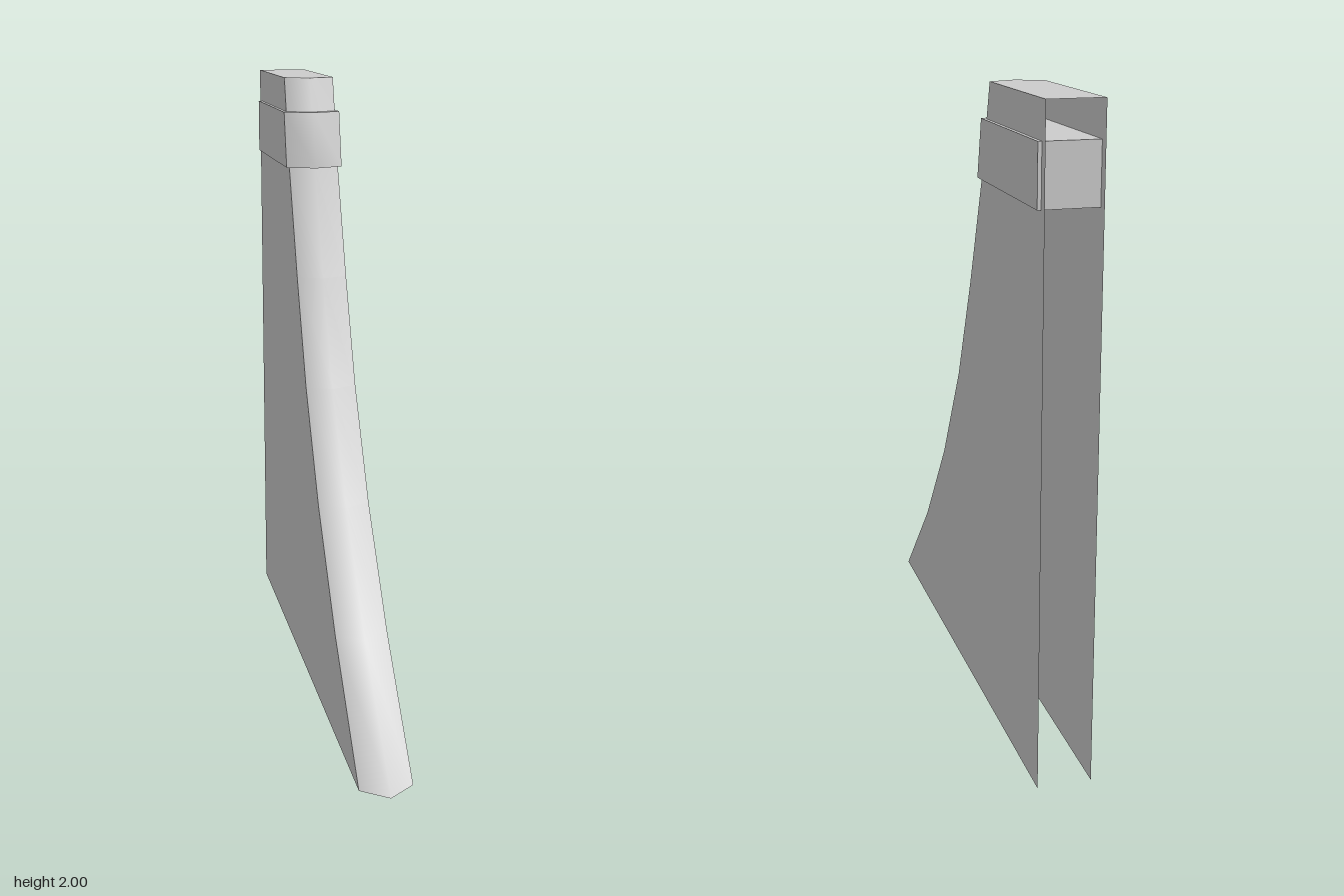
import * as THREE from 'three';

const grey = new THREE.MeshStandardMaterial({ color: 0xcccccc, side: THREE.DoubleSide });
grey.name = 'grey';

function addMesh(group, geometry, name) {
  const mesh = new THREE.Mesh(geometry, grey);
  mesh.name = name;
  group.add(mesh);
  return mesh;
}

// Smooth V-shaped front running up the rows [y, ridge z, edge z]
function frontStrip(rows, half) {
  const pos = [], index = [];
  rows.forEach(([y, ridge, edge], i) => {
    pos.push(-half, y, edge, 0, y, ridge, half, y, edge);
    if (i === 0) return;
    for (let j = 0; j < 2; j++) {
      const a = (i - 1) * 3 + j, c = a + 3;
      index.push(a, a + 1, c, a + 1, c + 1, c);
    }
  });
  const geo = new THREE.BufferGeometry();
  geo.setAttribute('position', new THREE.Float32BufferAttribute(pos, 3));
  geo.setIndex(index);
  geo.computeVertexNormals();
  return geo;
}

// Flat side wall between the front edge and the back line
function sideWall(rows, half, back) {
  const pts = rows.map(([y, , edge]) => new THREE.Vector2(edge, y));
  pts.push(new THREE.Vector2(back, rows[rows.length - 1][0]), new THREE.Vector2(back, rows[0][0]));
  return new THREE.ShapeGeometry(new THREE.Shape(pts)).rotateY(-Math.PI / 2).translate(-half, 0, 0);
}

// Horizontal cap with a pointed front
function cap([y, ridge, edge], half, back, up) {
  const shape = new THREE.Shape([[-half, edge], [0, ridge], [half, edge], [half, back], [-half, back]]
    .map(([x, z]) => new THREE.Vector2(x, up ? -z : z)));
  return new THREE.ShapeGeometry(shape).rotateX(up ? -Math.PI / 2 : Math.PI / 2).translate(0, y, 0);
}

// Hollow blade: front, two walls and a top
function shell(name, rows, half, back) {
  const group = new THREE.Group();
  group.name = name;
  addMesh(group, frontStrip(rows, half), name + 'Front');
  const wall = sideWall(rows, half, back);
  addMesh(group, wall, name + 'RightWall');
  addMesh(group, wall, name + 'LeftWall').scale.x = -1;
  addMesh(group, cap(rows[rows.length - 1], half, back, true), name + 'Top');
  return group;
}

export function createModel() {
  const model = new THREE.Group();
  model.name = 'curvedButtress';

  // Main body, open at the back and bottom
  const bodyRows = [
    [0, 0.875, 0.815], [0.345, 0.52, 0.475], [0.68, 0.255, 0.212], [1.02, 0.045, 0.008],
    [1.36, -0.108, -0.14], [1.705, -0.24, -0.272], [2, -0.323, -0.357],
  ];
  model.add(shell('body', bodyRows, 0.083, -0.875));

  // Closed collar around the upper part
  const bandRows = [[1.71, -0.225, -0.264], [1.89, -0.266, -0.304]];
  const half = 0.094, back = -0.845;
  const band = shell('collar', bandRows, half, back);
  addMesh(band, cap(bandRows[0], half, back, false), 'collarBottom');
  addMesh(band, new THREE.PlaneGeometry(half * 2, 0.18).rotateY(Math.PI).translate(0, 1.8, back), 'collarBack');
  model.add(band);

  return model;
}
